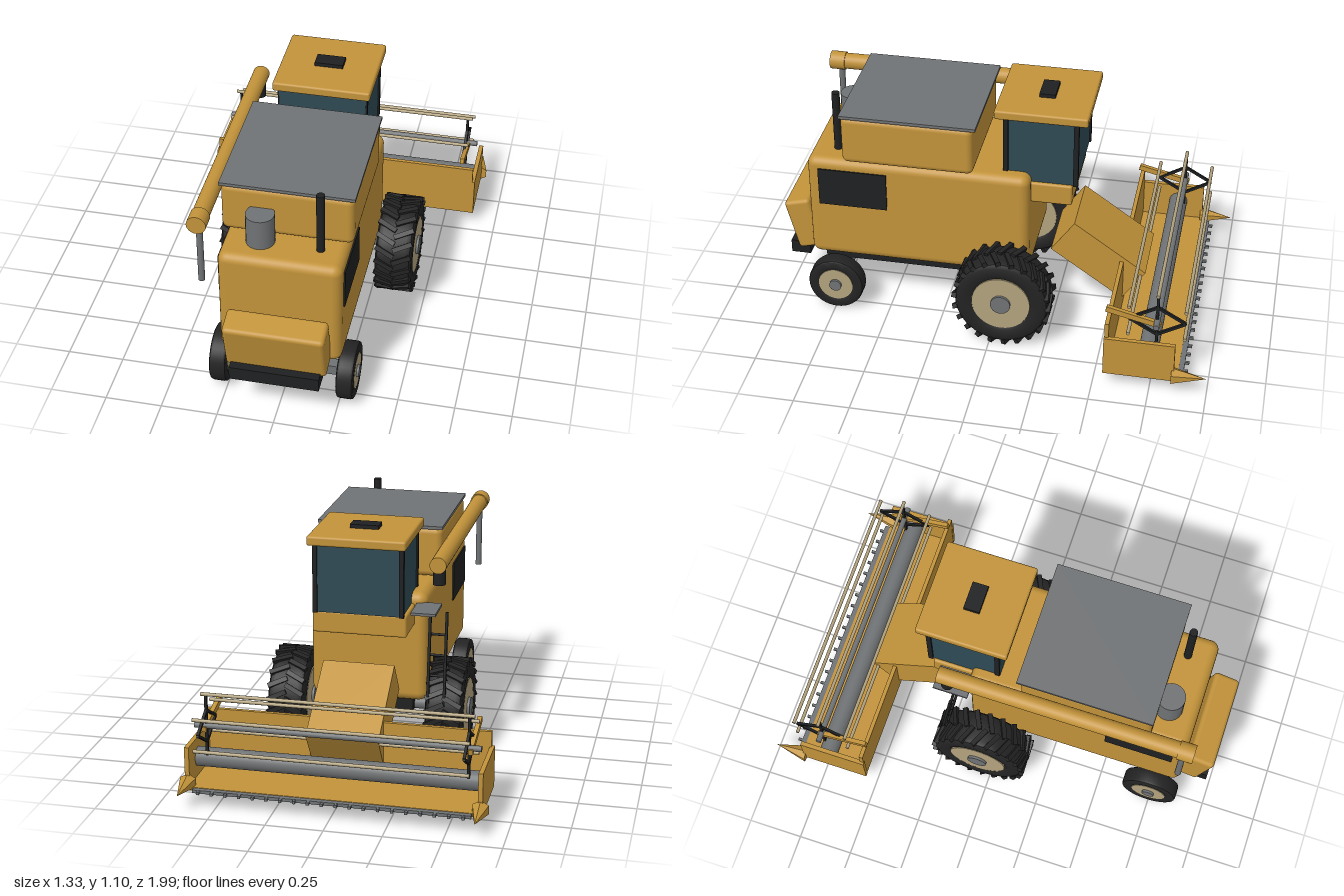
import * as THREE from 'three';
import { RoundedBoxGeometry } from 'three/addons/geometries/RoundedBoxGeometry.js';
import { toCreasedNormals } from 'three/addons/utils/BufferGeometryUtils.js';

const material = (name, color) => Object.assign(new THREE.MeshStandardMaterial({ color }), { name });

export function createModel() {
  const model = new THREE.Group();
  model.name = 'combineHarvester';
  const yellow = material('harvest yellow', 0xc2933a);
  const grey = material('steel grey', 0x707375);
  const tan = material('rim tan', 0xb3a37e);
  const black = material('black', 0x1f2021);
  const rubber = material('tyre rubber', 0x232323);
  const glass = material('tinted glass', 0x2e4a55);

  const add = (name, geometry, mat, x = 0, y = 0, z = 0, parent = model) => {
    const mesh = new THREE.Mesh(geometry, mat);
    mesh.name = name;
    mesh.position.set(x, y, z);
    parent.add(mesh);
    return mesh;
  };
  // Box given by its minimum and maximum on each axis, optionally rounded
  const box = (name, mat, [x0, x1], [y0, y1], [z0, z1], r = 0) => {
    const s = [x1 - x0, y1 - y0, z1 - z0];
    const g = r ? new RoundedBoxGeometry(...s, 3, r) : new THREE.BoxGeometry(...s);
    return add(name, g, mat, (x0 + x1) / 2, (y0 + y1) / 2, (z0 + z1) / 2);
  };
  // Cylinder along a chosen axis
  const rod = (name, mat, r, length, axis, x, y, z, parent = model, sides = 24) => {
    const g = new THREE.CylinderGeometry(r, r, length, sides);
    if (axis === 'x') g.rotateZ(Math.PI / 2);
    if (axis === 'z') g.rotateX(Math.PI / 2);
    return add(name, g, mat, x, y, z, parent);
  };

  // Main body, chassis and rear hood
  box('body', yellow, [-0.265, 0.265], [0.265, 0.775], [-0.147, 0.86], 0.04);
  box('chassis', black, [-0.2, 0.2], [0.21, 0.28], [-0.12, 0.81]);
  box('rearBumper', black, [-0.195, 0.195], [0.205, 0.268], [0.89, 0.98]);
  const hood = add('rearHood', new RoundedBoxGeometry(0.437, 0.25, 0.122, 3, 0.018), yellow, 0, 0.38, 0.907);
  hood.rotation.x = 0.25;
  for (const s of [-1, 1])
    add('sideVent', new THREE.BoxGeometry(0.009, 0.182, 0.312), black, s * 0.267, 0.635, 0.651);

  // Grain tank, engine stack and air cleaner
  box('grainTank', yellow, [-0.283, 0.283], [0.78, 1.01], [0.1, 0.69], 0.028);
  box('tankLid', grey, [-0.288, 0.288], [1.008, 1.022], [0.085, 0.693]);
  rod('exhaustStack', black, 0.018, 0.3, 'y', 0.153, 0.91, 0.738);
  rod('airCleaner', grey, 0.062, 0.15, 'y', -0.105, 0.842, 0.728);

  // Unloading tube on the right side
  rod('unloadingTube', yellow, 0.037, 1.12, 'z', -0.332, 0.945, 0.305);
  rod('tubeCap', yellow, 0.042, 0.07, 'z', -0.332, 0.945, 0.86);
  rod('tubeSpout', grey, 0.014, 0.3, 'y', -0.332, 0.775, 0.848);
  rod('tubePivot', black, 0.028, 0.08, 'y', -0.332, 0.89, -0.215);

  // Cab
  box('cabBase', yellow, [-0.21, 0.21], [0.63, 0.73], [-0.33, 0.0], 0.01);
  box('cabGlass', glass, [-0.195, 0.195], [0.73, 1.045], [-0.347, -0.02]);
  for (const x of [-0.192, 0.192]) for (const z of [-0.032, -0.343])
    add('cabPost', new THREE.BoxGeometry(0.02, 0.315, 0.022), black, x, 0.885, z);
  box('cabRoof', yellow, [-0.218, 0.218], [1.04, 1.083], [-0.395, 0.018], 0.01);
  box('roofHatch', black, [-0.064, 0.064], [1.08, 1.1], [-0.227, -0.155]);

  // Platform and ladder
  box('platform', grey, [-0.33, -0.22], [0.723, 0.735], [-0.29, -0.13]);
  const ladder = new THREE.Group();
  ladder.name = 'ladder';
  ladder.position.set(-0.328, 0.415, -0.235);
  ladder.rotation.x = 0.125;
  model.add(ladder);
  for (const x of [-0.037, 0.037])
    add('ladderRail', new THREE.BoxGeometry(0.012, 0.61, 0.012), black, x, 0, 0, ladder);
  for (let i = 0; i < 6; i++) rod('ladderRung', black, 0.006, 0.074, 'x', 0, 0.2 - i * 0.094, 0.015, ladder, 8);

  // Wheels: rounded tyre, rim, hub and optional chevron lugs
  const wheel = (name, x, y, z, r, w, rimR, hubR, lugs) => {
    const g = new THREE.Group();
    g.name = name;
    g.position.set(x, y, z);
    model.add(g);
    const h = w / 2, c = w * 0.14;
    const profile = [[rimR * 0.95, -h * 0.85], [rimR * 1.1, -h], [r - c, -h], [r - c * 0.3, -h + c * 0.4], [r, -h + c * 1.3],
      [r, h - c * 1.3], [r - c * 0.3, h - c * 0.4], [r - c, h], [rimR * 1.1, h], [rimR * 0.95, h * 0.85]];
    const tyre = new THREE.LatheGeometry(profile.map(p => new THREE.Vector2(...p)), 40).rotateZ(Math.PI / 2);
    add('tyre', toCreasedNormals(tyre, 0.7), rubber, 0, 0, 0, g);
    rod('rim', tan, rimR, w * 0.98, 'x', 0, 0, 0, g, 32);
    rod('hub', grey, hubR, w + 0.02, 'x', 0, 0, 0, g);
    for (let i = 0; i < lugs; i++) for (const s of [-1, 1]) {
      const lug = new THREE.BoxGeometry(w * 0.56, 0.022, 0.022);
      lug.rotateY(s * 0.45).translate(s * w * 0.235, r - 0.001, 0);
      lug.rotateX((i + (s > 0 ? 0.5 : 0)) / lugs * Math.PI * 2);
      add('tyreLug', lug, rubber, 0, 0, 0, g);
    }
  };
  for (const s of [-1, 1]) {
    wheel('frontWheel', s * 0.361, 0.226, -0.055, 0.213, 0.168, 0.132, 0.045, 22);
    wheel('rearWheel', s * 0.28, 0.133, 0.742, 0.128, 0.075, 0.08, 0.028, 0);
  }
  rod('frontAxle', grey, 0.028, 0.62, 'x', 0, 0.228, -0.055);
  box('rearAxle', grey, [-0.25, 0.25], [0.11, 0.157], [0.715, 0.765]);

  // Feeder house sloping down to the header
  const feeder = add('feederHouse', new THREE.BoxGeometry(0.32, 0.183, 0.4), yellow, 0, 0.315, -0.449);
  feeder.rotation.x = -0.61;

  // Header trough
  box('headerBack', yellow, [-0.63, 0.63], [0.068, 0.325], [-0.565, -0.547]);
  box('headerFloor', yellow, [-0.63, 0.63], [0.066, 0.082], [-0.87, -0.55]);
  rod('headerAuger', grey, 0.043, 1.24, 'x', 0, 0.17, -0.735);
  box('cutterBar', grey, [-0.6, 0.6], [0.066, 0.08], [-0.893, -0.868]);
  for (let i = 0; i < 20; i++)
    add('cutterTooth', new THREE.BoxGeometry(0.012, 0.012, 0.035), grey, -0.57 + i * 0.06, 0.073, -0.894);
  for (const s of [-1, 1]) {
    add('headerEnd', new THREE.BoxGeometry(0.02, 0.187, 0.31), yellow, s * 0.632, 0.162, -0.7);
    const cone = new THREE.ConeGeometry(0.04, 0.15, 6).rotateX(-Math.PI / 2);
    add('cropDivider', toCreasedNormals(cone, 0.3), yellow, s * 0.632, 0.093, -0.92);
    const arm = add('reelArm', new THREE.BoxGeometry(0.02, 0.026, 0.245), yellow, s * 0.575, 0.343, -0.663);
    arm.rotation.x = -0.24;
  }

  // Reel with six bats; side struts form a diamond around the shaft
  const reel = new THREE.Group();
  reel.name = 'reel';
  reel.position.set(0, 0.328, -0.766);
  model.add(reel);
  rod('reelShaft', grey, 0.013, 1.24, 'x', 0, 0, 0, reel, 16);
  for (let i = 0; i < 6; i++) {
    const a = Math.PI / 6 + i * Math.PI / 3, y = 0.142 * Math.sin(a), z = 0.142 * Math.cos(a);
    rod('reelBat', tan, 0.008, 1.18, 'x', 0, y, z, reel, 10);
    for (const x of [-0.567, 0.567]) {
      const strut = add('reelStrut', new THREE.BoxGeometry(0.012, 0.012, 0.142), black, x, y / 2, z / 2, reel);
      strut.rotation.x = a;
    }
  }
  return model;
}
